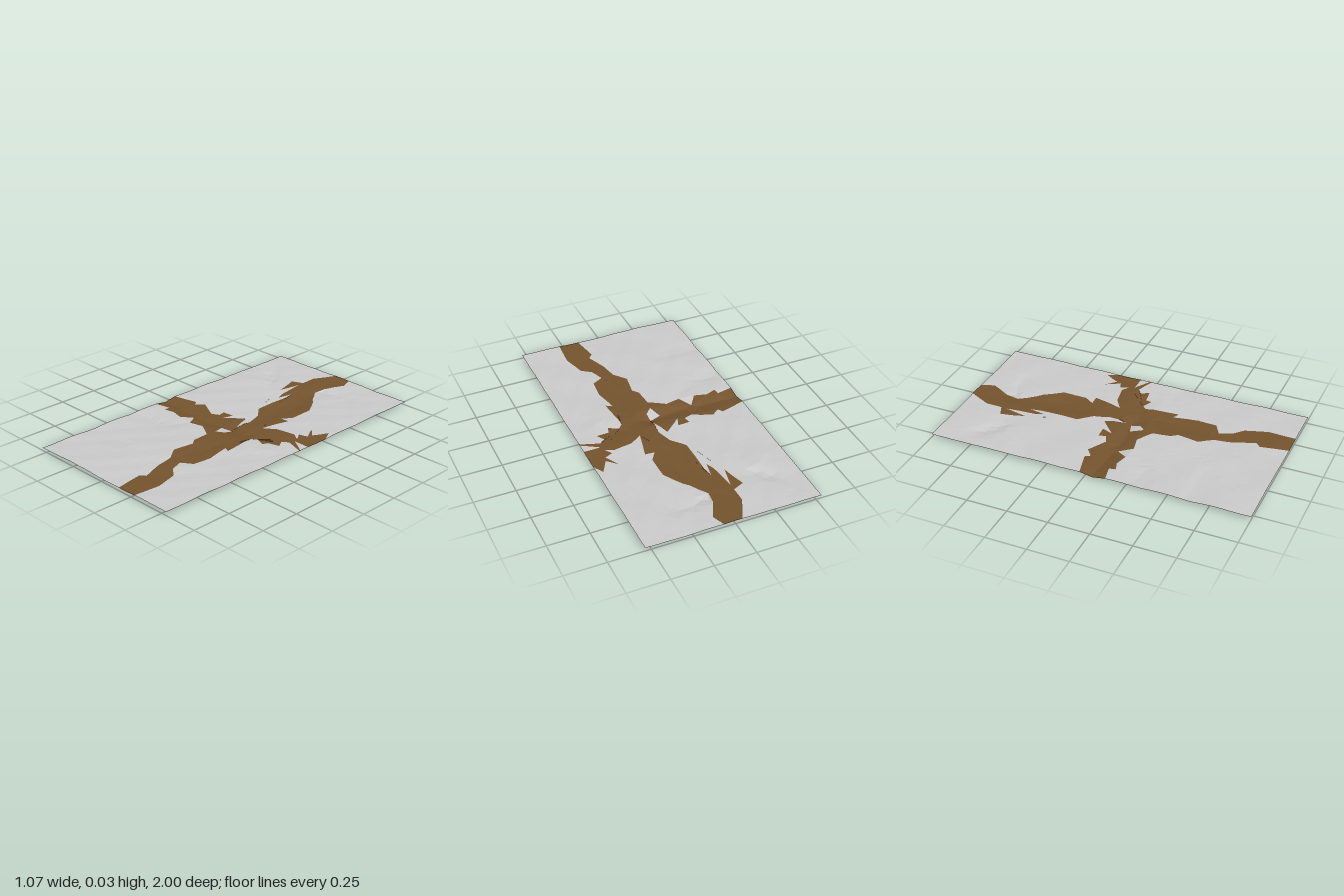
import * as THREE from 'three';

const W = 53.5, L = 100; // half size in hundredths of a unit

// Banks of the dirt tracks, clockwise from the back edge, as [x, z] in hundredths
const backLeft = [[7, -L], [10, -92], [4, -80], [3, -72], [10, -62], [13, -59], [20, -48], [20, -33],
  [16, -27], [22, -27], [17.5, -9], [25, -14], [37, -16], [42, -13], [39, -18], [44, -20], [39, -29],
  [45, -23], [50, -32], [W, -25]];
const notch = [[W, -10], [43, -10], [W, -3.5]];
const frontLeft = [[W, -2.5], [42, -6.5], [38, -4], [41, 1], [33, 2], [32, 6], [26, 3], [23, 6], [25, 27],
  [21, 25], [24, 40], [23, 52], [16, 56], [19, 64], [25, 69], [29, 83], [28, L]];
const frontRight = [[15, L], [12, 83], [15, 80], [10, 67], [8, 56], [2, 48], [4, 35], [1, 31], [0, 20],
  [-10, 14], [-19, 16], [-24, 8], [-29, 15], [-37, 13], [-43, 15], [-43.5, 11], [-W, 13]];
const backRight = [[-W, -3], [-38, -7], [-36, -4], [-31, -8], [-19, -2], [-14, -4], [-15, -8.5], [-7.5, -9],
  [-10, -2], [-6, -6], [1, -12], [5, 1], [6, -10], [3, -20], [-4, -28], [-4, -52], [-5, -59], [-7, -49],
  [-9, -54], [-11, -72], [-14, -58], [-18, -73], [-11, -76], [-11, -86], [-4, -L]];
const island = [[-2, 6], [5, 4], [5, 10], [1, 14]];

// Dips and ridges: x1, z1, x2, z2, width, height
const creases = [
  [-0.54, 0.05, 0.05, 0.05, 0.05, -0.016],
  [0.05, 0.05, 0.3, 0, 0.05, -0.008],
  [0.08, -0.3, 0.04, -0.72, 0.07, -0.009],
  [0.14, 0.1, 0.13, 0.5, 0.06, -0.006],
  [-0.4, -0.75, -0.27, -0.66, 0.04, -0.01],
  [0, -0.77, 0.24, -0.77, 0.03, -0.008],
  [-0.5, -0.5, -0.28, -0.6, 0.05, 0.004],
  [-0.5, 0.33, -0.27, 0.25, 0.05, -0.007],
  [-0.5, 0.64, -0.25, 0.64, 0.05, -0.005],
  [0.25, 0.12, 0.5, 0.1, 0.05, 0.004],
];

// Gently rumpled height of the ground at x, z
function height(x, z) {
  let y = 0.0225 + 0.002 * Math.sin(9 * x + 4 * z) + 0.0015 * Math.sin(17 * z - 11 * x + 1)
    + 0.0012 * Math.sin(31 * x + 23 * z);
  for (const [x1, z1, x2, z2, width, rise] of creases) {
    const dx = x2 - x1, dz = z2 - z1;
    const t = THREE.MathUtils.clamp(((x - x1) * dx + (z - z1) * dz) / (dx * dx + dz * dz), 0, 1);
    const d = Math.hypot(x - x1 - t * dx, z - z1 - t * dz) / width;
    y += rise * Math.exp(-d * d);
  }
  return THREE.MathUtils.clamp(y, 0, 0.028);
}

// Halve the longest edge until every edge is short, then lift the corners
function subdivide(triangle, out) {
  let longest = 0, k = 0;
  for (let i = 0; i < 3; i++) {
    const d = triangle[i].distanceTo(triangle[(i + 1) % 3]);
    if (d > longest) { longest = d; k = i; }
  }
  if (longest < 0.1) {
    for (const p of triangle) out.push(p.x, height(p.x, -p.y), -p.y);
    return;
  }
  const a = triangle[k], b = triangle[(k + 1) % 3], c = triangle[(k + 2) % 3];
  const m = a.clone().add(b).multiplyScalar(0.5);
  subdivide([a, m, c], out);
  subdivide([m, b, c], out);
}

const toPoints = (list) => list.map(([x, z]) => new THREE.Vector2(x / 100, -z / 100));

// Rumpled sheet inside an outline
function sheet(name, outline, material, hole) {
  const shape = new THREE.Shape(toPoints(outline));
  if (hole) shape.holes.push(new THREE.Path(toPoints(hole)));
  const flat = new THREE.ShapeGeometry(shape).toNonIndexed().attributes.position;
  const positions = [];
  for (let i = 0; i < flat.count; i += 3) {
    subdivide([0, 1, 2].map((j) => new THREE.Vector3().fromBufferAttribute(flat, i + j)), positions);
  }
  const geometry = new THREE.BufferGeometry();
  geometry.setAttribute('position', new THREE.Float32BufferAttribute(positions, 3));
  geometry.computeVertexNormals();
  const mesh = new THREE.Mesh(geometry, material);
  mesh.name = name;
  return mesh;
}

export function createModel() {
  const model = new THREE.Group();
  model.name = 'groundTile';
  const style = { flatShading: true, side: THREE.DoubleSide };
  const ground = new THREE.MeshStandardMaterial({ color: 0xcccccc, ...style });
  const dirt = new THREE.MeshStandardMaterial({ color: 0x75542e, ...style });

  // Crossing dirt tracks
  const tracks = [...backLeft, ...notch, ...frontLeft, ...frontRight, ...backRight];
  model.add(sheet('dirtTracks', tracks, dirt, island));

  // Ground between the tracks
  model.add(sheet('groundBackLeft', [...backLeft, [W, -L]], ground));
  model.add(sheet('groundFrontLeft', [...frontLeft, [W, L]], ground));
  model.add(sheet('groundFrontRight', [...frontRight, [-W, L]], ground));
  model.add(sheet('groundBackRight', [...backRight, [-W, -L]], ground));
  model.add(sheet('groundNotch', notch, ground));
  model.add(sheet('groundIsland', island, ground));
  return model;
}
